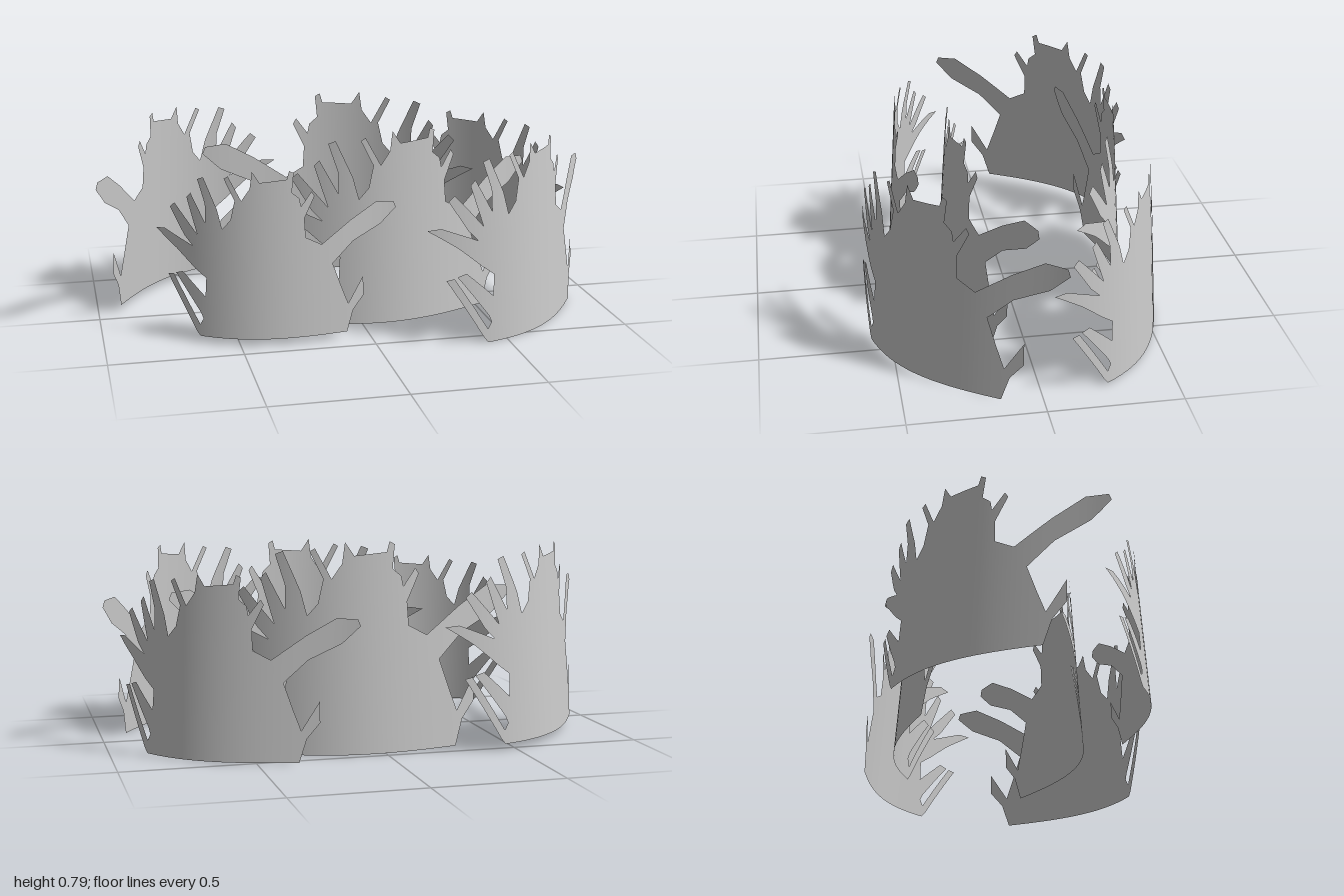
import * as THREE from 'three';

// Offset of a grass sheet from its chord at s = 0..1: a bow that leans inward with height
const LEAN = 0.065;
const bow = (s) => 0.168 * Math.pow(Math.max(0, Math.sin(Math.PI * Math.pow(Math.max(s, 0), 0.8))), 1.15);
const offset = (s, y) => bow(s) + LEAN * (0.47 - y);

// Flat outline of one sheet (s along the chord, y up), counter-clockwise
const outline = [
  // base and right side shoot
  [0.205, 0], [0.795, 0], [0.82, 0.09], [0.865, 0.15], [0.862, 0.23], [0.8, 0.12], [0.77, 0.2], [0.735, 0.3],
  // long blade
  [0.82, 0.385], [0.935, 0.445], [1, 0.51], [0.99, 0.535], [0.915, 0.54], [0.81, 0.475], [0.69, 0.385],
  // small twig and crown
  [0.625, 0.42], [0.62, 0.5], [0.662, 0.59], [0.65, 0.61], [0.607, 0.55], [0.6, 0.585], [0.57, 0.61],
  [0.578, 0.69], [0.56, 0.7], [0.55, 0.665], [0.44, 0.655], [0.41, 0.7], [0.4, 0.63], [0.365, 0.58],
  // fan of upper left tips
  [0.312, 0.68], [0.295, 0.67], [0.338, 0.58], [0.32, 0.5], [0.285, 0.46], [0.265, 0.54],
  [0.21, 0.67], [0.185, 0.66], [0.215, 0.56], [0.215, 0.48], [0.155, 0.6], [0.138, 0.58], [0.16, 0.5],
  [0.18, 0.43], [0.085, 0.55], [0.065, 0.53], [0.125, 0.42], [0.16, 0.38],
  // left leaf
  [0.04, 0.435], [0, 0.43], [0.09, 0.36], [0.17, 0.285], [0.215, 0.25], [0.21, 0.17],
  // two low strips
  [0.115, 0.265], [0.085, 0.255], [0.19, 0.1], [0.2, 0.075], [0.185, 0.05], [0.075, 0.25], [0.05, 0.245],
  [0.17, 0.02], [0.185, 0],
].map(([s, y]) => new THREE.Vector2(s, y));

// Keep the part of a convex polygon on one side of the line s = c
function clip(poly, c, side) {
  const out = [];
  poly.forEach((p, i) => {
    const q = poly[(i + 1) % poly.length];
    const dp = (p.x - c) * side, dq = (q.x - c) * side;
    if (dp >= 0) out.push(p);
    if (dp * dq < 0) out.push(p.clone().lerp(q, dp / (dp - dq)));
  });
  return out;
}

// Triangulate the outline, cut it into narrow columns and bend it along the bow
function sheetGeometry(columns = 28) {
  const position = [], normal = [];
  const add = (p) => {
    position.push(p.x, p.y, offset(p.x, p.y));
    const s = THREE.MathUtils.clamp(p.x, 0.03, 0.97);
    const slope = (bow(s + 0.02) - bow(s - 0.02)) / 0.04;
    const n = new THREE.Vector3(-slope, LEAN, 1).normalize();
    normal.push(n.x, n.y, n.z);
  };
  for (const face of THREE.ShapeUtils.triangulateShape(outline, [])) {
    const tri = face.map((i) => outline[i]);
    for (let c = 0; c < columns; c++) {
      const piece = clip(clip(tri, c / columns, 1), (c + 1) / columns, -1);
      for (let k = 1; k < piece.length - 1; k++) [piece[0], piece[k], piece[k + 1]].forEach(add);
    }
  }
  const g = new THREE.BufferGeometry();
  g.setAttribute('position', new THREE.Float32BufferAttribute(position, 3));
  g.setAttribute('normal', new THREE.Float32BufferAttribute(normal, 3));
  return g;
}

export function createModel() {
  const group = new THREE.Group();
  group.name = 'grassClump';
  const geometry = sheetGeometry();
  const material = new THREE.MeshStandardMaterial({ color: 0xcccccc, side: THREE.DoubleSide });

  // Chord of each sheet: start x, z, long blade tip x, z, base height
  const sheets = {
    frontLeftSheet: [0.17, 0.57, 1.0, -0.07, 0],
    frontMiddleSheet: [-0.33, 0.11, 0.74, -0.01, 0],
    frontRightSheet: [-0.78, 0.17, 0.11, 0.35, 0.025],
    backRightSheet: [-0.2, -0.55, -1.0, 0.14, 0.025],
    backMiddleSheet: [0.58, -0.18, -0.54, -0.32, 0],
    backLeftSheet: [0.93, -0.03, 0.13, -0.58, 0.005],
  };
  for (const [name, [x0, z0, x1, z1, y]] of Object.entries(sheets)) {
    const mesh = new THREE.Mesh(geometry, material);
    mesh.name = name;
    mesh.position.set(x0, y, z0);
    mesh.rotation.y = Math.atan2(z0 - z1, x1 - x0);
    mesh.scale.setScalar(Math.hypot(x1 - x0, z1 - z0));
    group.add(mesh);
  }
  return group;
}
